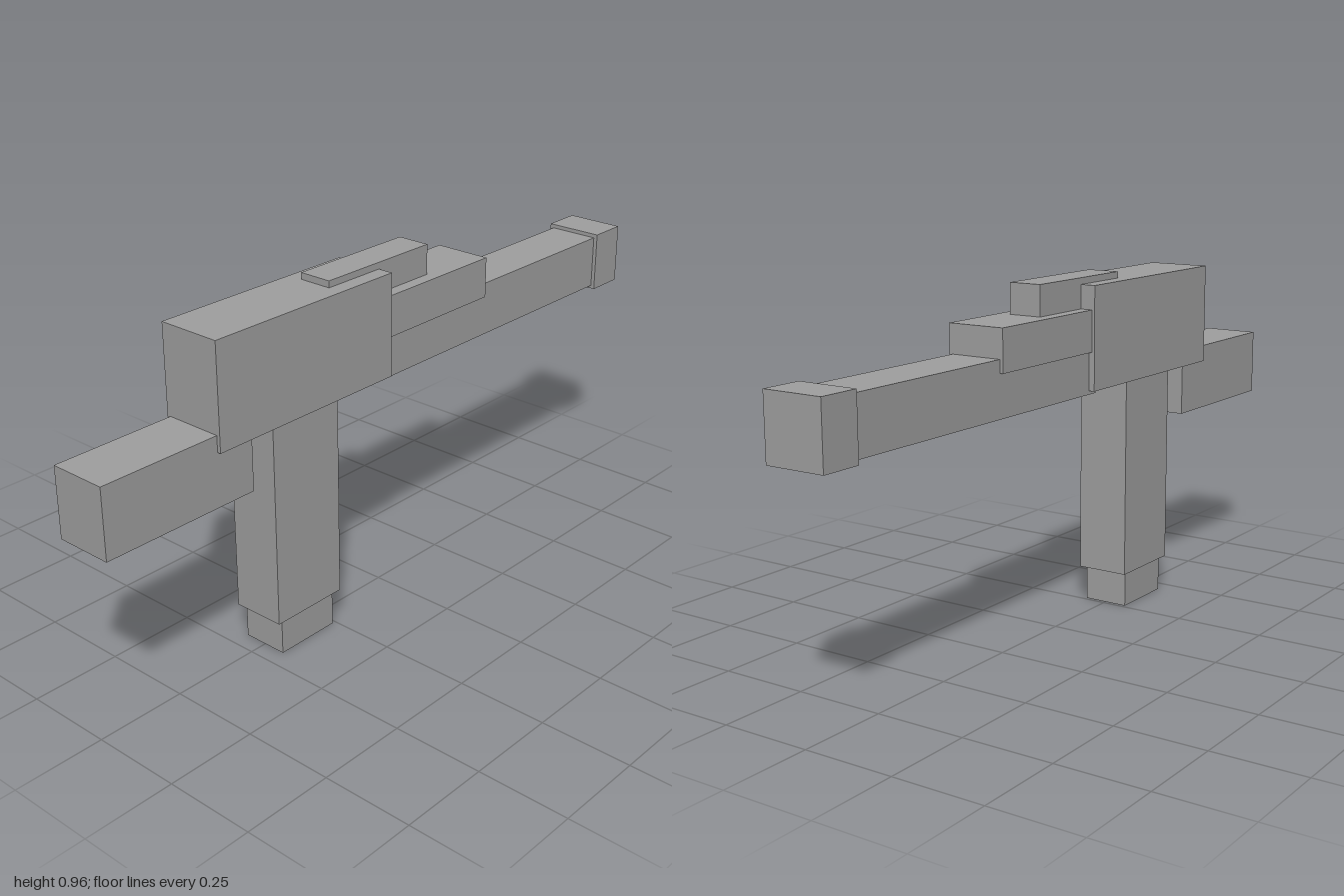
import * as THREE from 'three';

export function createModel() {
  const model = new THREE.Group();
  model.name = 'blockModel';
  const grey = new THREE.MeshStandardMaterial({ color: 0xa0a0a0 });
  grey.name = 'grey';

  // A block centred on x, given by its width and its y and z ranges
  const block = (name, width, y0, y1, z0, z1) => {
    const mesh = new THREE.Mesh(new THREE.BoxGeometry(width, y1 - y0, z1 - z0), grey);
    mesh.position.set(0, (y0 + y1) / 2, (z0 + z1) / 2);
    mesh.name = name;
    model.add(mesh);
  };

  // Main body with its narrower rear section and top rail
  block('body', 0.18, 0.662, 0.945, 0.051, 0.656);
  block('rearBody', 0.164, 0.767, 0.88, -0.35, 0.06);
  block('topRail', 0.094, 0.88, 0.963, -0.14, 0.236);

  // Long rear bar and its end cap
  block('rearBar', 0.146, 0.652, 0.802, -0.95, 0.085);
  block('rearCap', 0.168, 0.643, 0.813, -1, -0.887);

  // Front block
  block('frontBlock', 0.16, 0.518, 0.706, 0.545, 1);

  // Upright post and its foot
  block('post', 0.15, 0.1, 0.7, 0.24, 0.47);
  block('postFoot', 0.13, 0, 0.11, 0.26, 0.45);

  return model;
}
